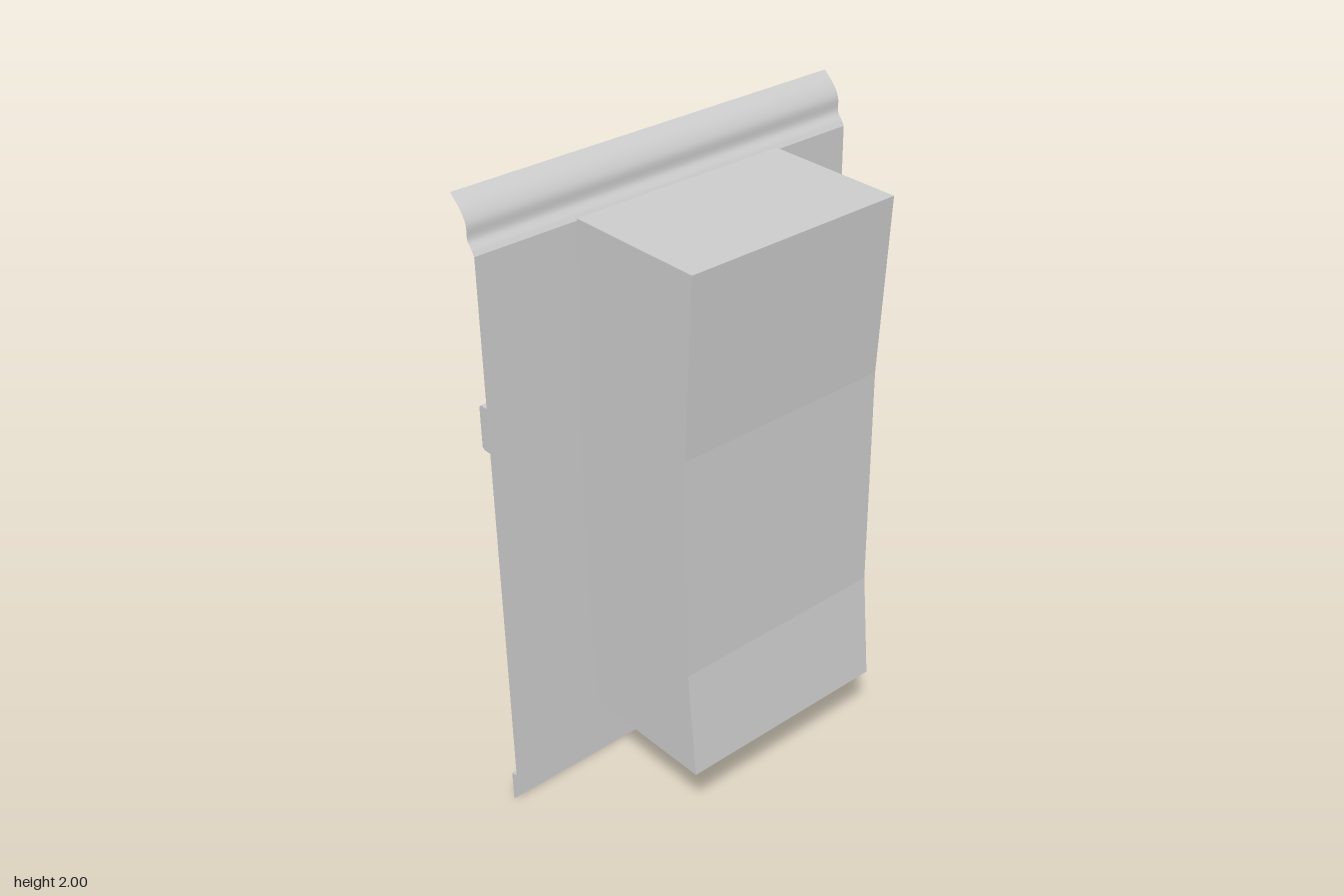
import * as THREE from 'three';

const material = new THREE.MeshStandardMaterial({ color: 0xcccccc });
const sheetMaterial = new THREE.MeshStandardMaterial({ color: 0xcccccc, side: THREE.DoubleSide });

const HALF = 0.665;      // half width of the sheet along z
const BOX = 0.36;        // half width of the housing along z
const SHEET_X = -0.203;

const toShape = (pts) => new THREE.Shape(pts.map(([x, y]) => new THREE.Vector2(x, y)));

// Solid with an x-y outline, running along z from z0 to z1
function prism(pts, z0, z1) {
  const g = new THREE.ExtrudeGeometry(toShape(pts), { depth: z1 - z0, bevelEnabled: false });
  return g.translate(0, 0, z0);
}

// Thin strip that sweeps an x-y profile along z
function strip(profile) {
  const g = new THREE.PlaneGeometry(1, 1, 1, profile.length - 1);
  const p = g.attributes.position;
  for (let i = 0; i < p.count; i++) {
    const [x, y] = profile[Math.floor(i / 2)];
    p.setXYZ(i, x, y, i % 2 ? -HALF : HALF);
  }
  g.computeVertexNormals();
  return g;
}

export function createModel() {
  const model = new THREE.Group();
  const add = (name, geometry, mat = material) => {
    const mesh = new THREE.Mesh(geometry, mat);
    mesh.name = name;
    model.add(mesh);
    return mesh;
  };

  // Flat sheet with a rectangular opening
  const panel = toShape([[-HALF, 0.105], [HALF, 0.105], [HALF, 1.85], [-HALF, 1.85]]);
  panel.holes.push(toShape([[-0.355, 0.65], [-0.355, 1.31], [0.355, 1.31], [0.355, 0.65]]));
  add('backPanel', new THREE.ShapeGeometry(panel).rotateY(-Math.PI / 2).translate(SHEET_X, 0, 0), sheetMaterial);

  // Curled lip along the top edge
  const curl = new THREE.CatmullRomCurve3([
    [SHEET_X, 1.85], [-0.212, 1.865], [-0.228, 1.888], [-0.23, 1.93], [-0.25, 1.965], [-0.288, 2],
  ].map(([x, y]) => new THREE.Vector3(x, y, 0)));
  add('topLip', strip(curl.getPoints(20).reverse().map((v) => [v.x, v.y])), sheetMaterial);

  // Stepped skirt along the bottom edge
  add('bottomLedge', strip([[SHEET_X, 0.11], [-0.226, 0.105]]), sheetMaterial);
  add('bottomSkirt', strip([[-0.226, 0.105], [-0.226, 0]]), sheetMaterial);

  // Housing: core notched by the cavity, closed by two thin end walls
  const wall = 0.012;
  const outer = [[-0.175, 0.25], [0.28, 0.25], [0.25, 0.6], [0.25, 1.32], [0.285, 1.875], [-0.17, 1.875], [-0.2, 1.32]];
  const notch = [[-0.2, 1.3], [0.217, 1.3], [0.217, 0.67], [-0.2, 0.67]];
  add('housing', prism([...outer, ...notch, [-0.2, 0.6]], -BOX + wall, BOX - wall));

  for (const s of [-1, 1]) {
    const side = s > 0 ? 'left' : 'right';
    const inner = BOX - wall;
    const span = (a, b) => (s > 0 ? [a, b] : [-b, -a]);
    add(side + 'HousingWall', prism([...outer, [-0.2, 0.6]], ...span(inner, BOX)));

    // Raised jamb just inside the opening
    add(side + 'Jamb', prism([[-0.2, 0.67], [-0.155, 0.67], [-0.155, 1.3], [-0.2, 1.3]], ...span(inner - 0.008, inner)));

    // Small rail and triangular fins inside the cavity
    const rail = add('cavityRail', new THREE.BoxGeometry(0.19, 0.025, 0.035));
    rail.position.set(0.075, 0.98, s * (inner - 0.0175));
    for (const x of [-0.07, 0.18]) {
      for (const [y, dir] of [[0.67, 1], [1.3, -1]]) {
        const tri = toShape([[0, 0], [0.05, 0], [0, 0.09]]);
        const fin = new THREE.ExtrudeGeometry(tri, { depth: 0.012, bevelEnabled: false });
        // Outline x runs inward from the wall, outline y runs away from floor or ceiling
        fin.translate(0, 0, -0.006).rotateY(s * Math.PI / 2);
        if (dir < 0) fin.rotateX(Math.PI).scale(1, 1, 1).rotateY(Math.PI);
        add('cavityFin', fin).position.set(x, y, s * inner);
      }
    }

    // Edge clip with softened outer corners
    const clip = [[-0.203, 1.265], [-0.203, 1.405], [-0.23, 1.405], [-0.237, 1.398], [-0.237, 1.272], [-0.23, 1.265]];
    add(side + 'EdgeClip', prism(clip, ...span(0.637, HALF)));
  }
  return model;
}
